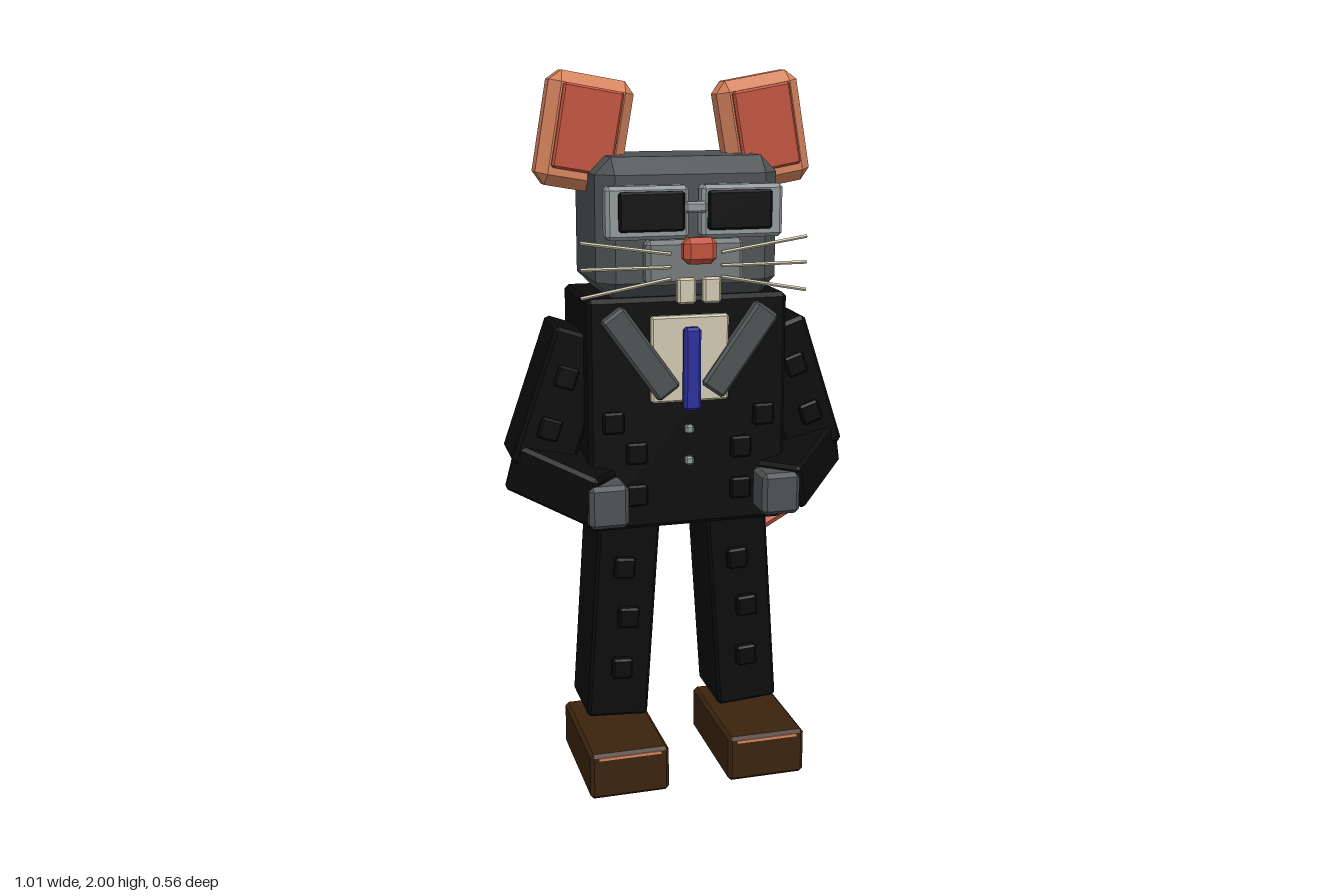
import * as THREE from 'three';
import { ConvexGeometry } from 'three/addons/geometries/ConvexGeometry.js';

const mat = (name, color) => {
  const m = new THREE.MeshStandardMaterial({ color });
  m.name = name;
  return m;
};

// Box with flat chamfered edges
function chamferBox(w, h, d, c) {
  const pts = [];
  for (const sx of [-1, 1]) for (const sy of [-1, 1]) for (const sz of [-1, 1]) {
    const x = w / 2, y = h / 2, z = d / 2;
    pts.push(
      new THREE.Vector3(sx * x, sy * (y - c), sz * (z - c)),
      new THREE.Vector3(sx * (x - c), sy * y, sz * (z - c)),
      new THREE.Vector3(sx * (x - c), sy * (y - c), sz * z));
  }
  return new ConvexGeometry(pts);
}

export function createModel() {
  const suit = mat('black suit', 0x0b0b0c);
  const fur = mat('grey fur', 0x4c5152);
  const muzzleGrey = mat('muzzle grey', 0x74797a);
  const frameGrey = mat('frame grey', 0x8f9899);
  const earSkin = mat('ear skin', 0xd4825d);
  const pink = mat('red skin', 0xbf523c);
  const cream = mat('cream', 0xcfc6ae);
  const blue = mat('tie blue', 0x2a2f9a);
  const brown = mat('shoe brown', 0x3a230e);

  const model = new THREE.Group();
  model.name = 'mouseInSuit';
  const body = new THREE.Group();
  body.name = 'body';
  body.position.x = -0.0175;
  model.add(body);

  const add = (name, geo, material, pos = [0, 0, 0], rot = [0, 0, 0], parent = body) => {
    const m = new THREE.Mesh(geo, material);
    m.name = name;
    m.position.set(...pos);
    m.rotation.set(...rot);
    parent.add(m);
    return m;
  };

  // Straight rod between two points
  const rod = (name, a, b, r, sides, material) => {
    const p = new THREE.Vector3(...a), q = new THREE.Vector3(...b);
    const dir = q.clone().sub(p);
    const geo = new THREE.CylinderGeometry(r, r, dir.length(), sides).toNonIndexed();
    geo.computeVertexNormals();
    const m = add(name, geo, material);
    m.position.copy(p).add(q).multiplyScalar(0.5);
    m.quaternion.setFromUnitVectors(new THREE.Vector3(0, 1, 0), dir.normalize());
  };

  // Torso and head
  add('jacket', chamferBox(0.565, 0.65, 0.32, 0.012), suit, [0, 1.075, 0]);
  add('head', chamferBox(0.505, 0.375, 0.34, 0.045), fur, [0, 1.585, 0.01]);

  // Face
  add('muzzle', chamferBox(0.27, 0.12, 0.05, 0.012), muzzleGrey, [0, 1.5, 0.2]);
  add('nose', chamferBox(0.09, 0.07, 0.05, 0.015), pink, [0, 1.535, 0.255]);
  add('glassesBridge', chamferBox(0.06, 0.03, 0.03, 0.006), frameGrey, [0, 1.645, 0.217]);

  // Shirt, tie and jacket buttons
  add('shirt', chamferBox(0.22, 0.24, 0.03, 0.006), cream, [0, 1.23, 0.162]);
  add('tie', chamferBox(0.048, 0.23, 0.03, 0.008), blue, [0, 1.205, 0.19]);
  for (const y of [1.03, 0.94])
    add('jacketButton', chamferBox(0.024, 0.024, 0.02, 0.005), frameGrey, [0, y, 0.165]);

  // Raised cloth squares on the suit
  const patch = chamferBox(0.06, 0.06, 0.03, 0.006);

  for (const s of [-1, 1]) {
    // Ear with inner panel
    const ear = new THREE.Group();
    ear.name = 'ear';
    ear.position.set(s * 0.253, 1.83, -0.005);
    ear.rotation.z = s * 0.175;
    body.add(ear);
    add('outerEar', chamferBox(0.235, 0.305, 0.11, 0.03), earSkin, [0, 0, 0], [0, 0, 0], ear);
    add('innerEar', chamferBox(0.165, 0.225, 0.03, 0.006), pink, [0, 0.01, 0.053], [0, 0, 0], ear);

    // Glasses
    add('glassesFrame', chamferBox(0.225, 0.14, 0.05, 0.01), frameGrey, [s * 0.13, 1.632, 0.2]);
    add('lens', chamferBox(0.178, 0.104, 0.02, 0.006), suit, [s * 0.121, 1.636, 0.225]);

    // Teeth and whiskers
    add('tooth', chamferBox(0.05, 0.07, 0.026, 0.006), cream, [s * 0.035, 1.43, 0.252]);
    for (const [y0, y1] of [[1.525, 1.56], [1.49, 1.49], [1.46, 1.415]])
      rod('whisker', [s * 0.07, y0, 0.23], [s * 0.312, y1, 0.222], 0.005, 5, cream);

    // Lapel
    add('lapel', chamferBox(0.075, 0.275, 0.04, 0.008), fur, [s * 0.14, 1.25, 0.172], [0, 0, -s * 0.62]);

    // Upper arm
    const arm = new THREE.Group();
    arm.name = 'upperArm';
    arm.position.set(s * 0.34, 1.11, 0.01);
    arm.rotation.z = s * 0.33;
    body.add(arm);
    add('sleeve', chamferBox(0.17, 0.4, 0.18, 0.01), suit, [0, 0, 0], [0.03, 0, 0], arm);
    for (const y of [0.07, -0.08])
      add('sleevePatch', patch, suit, [s * 0.015, y, 0.088], [0, 0, 0], arm);

    // Forearm reaching forward and inward, with hand
    const forearm = add('forearm', chamferBox(0.15, 0.14, 0.27, 0.01), suit, [s * 0.345, 0.895, 0.095]);
    forearm.lookAt(s * 0.165, 0.82, 0.26);
    add('hand', chamferBox(0.11, 0.12, 0.11, 0.012), fur, [s * 0.246, 0.845, 0.195]);

    // Jacket patches
    for (const [x, y] of [[0.215, 1.06], [0.15, 0.97], [0.15, 0.85]])
      add('jacketPatch', patch, suit, [s * x, y, 0.16]);

    // Leg
    const leg = new THREE.Group();
    leg.name = 'leg';
    leg.position.set(s * 0.178, 0.465, 0.005);
    leg.rotation.z = s * 0.068;
    body.add(leg);
    add('trouserLeg', chamferBox(0.178, 0.6, 0.21, 0.008), suit, [0, 0, 0], [0, 0, 0], leg);
    for (const [x, y] of [[-0.01, 0.16], [0.01, 0.01], [0, -0.145]])
      add('trouserPatch', patch, suit, [x, y, 0.115], [0, 0, 0], leg);

    // Shoe with a thin seam
    add('shoe', chamferBox(0.228, 0.135, 0.375, 0.01), brown, [s * 0.2025, 0.0675, 0.0925]);
    add('shoeSeam', new THREE.BoxGeometry(0.18, 0.008, 0.006), earSkin, [s * 0.2025, 0.122, 0.279]);
  }

  // Bent tail
  const tail = [[0, 0.73, -0.12], [0.3, 0.555, -0.262], [0.493, 0.662, -0.262], [0.493, 0.8, -0.235]];
  for (let i = 0; i < 3; i++) rod('tail', tail[i], tail[i + 1], 0.019, 6, pink);

  return model;
}
